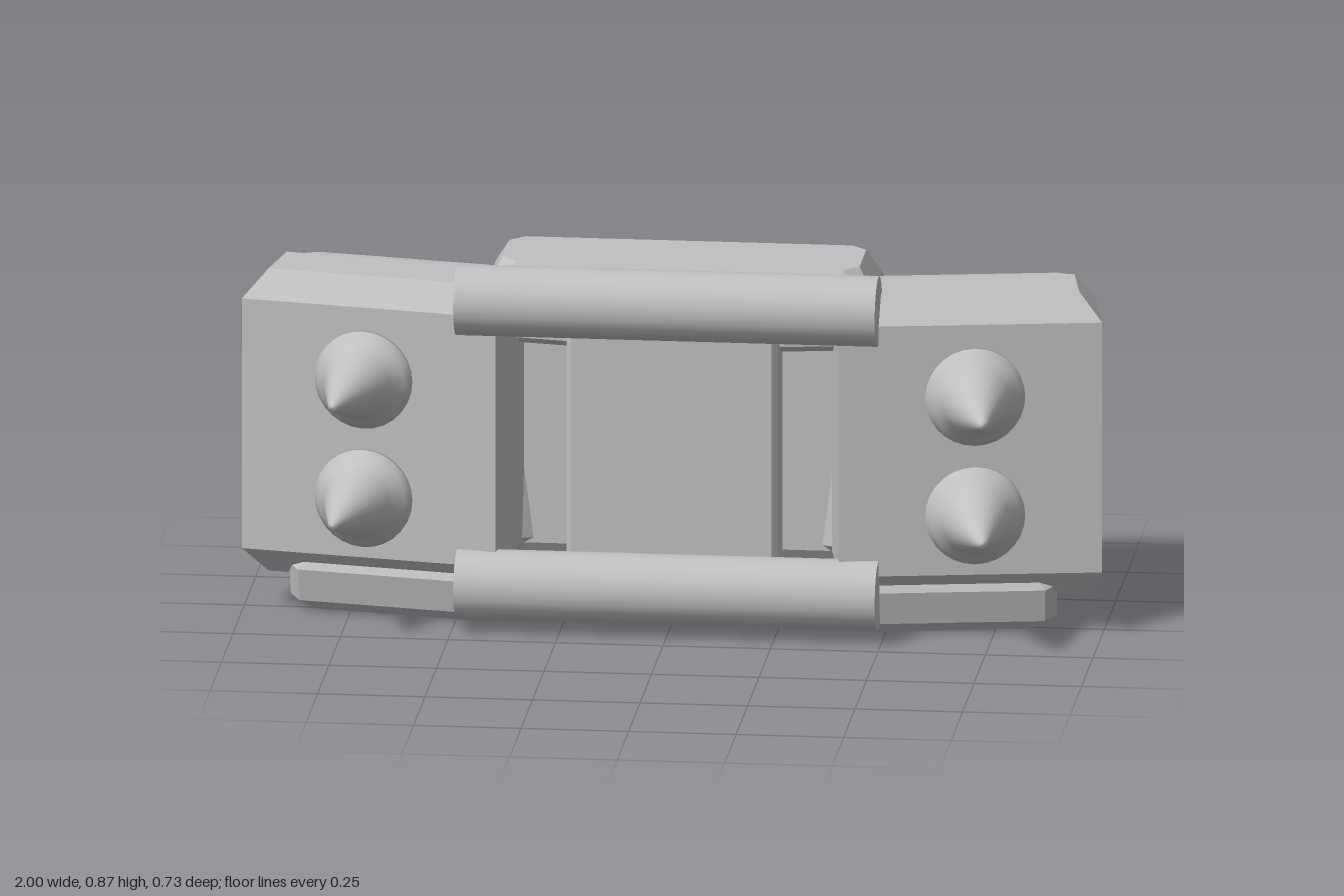
import * as THREE from 'three';
import { ConvexGeometry } from 'three/addons/geometries/ConvexGeometry.js';

const grey = new THREE.MeshStandardMaterial({ color: 0xc0c0c0 });
grey.name = 'plain grey';

// Box with cut vertical edges (v) and top and bottom bevels (inset, drop)
function bevelBox(w, h, d, v, inset, drop) {
  const pts = [];
  const ring = (y, a, b) => {
    for (const sx of [-1, 1]) for (const sz of [-1, 1]) {
      pts.push(new THREE.Vector3(sx * a, y, sz * (b - v)));
      if (v > 0) pts.push(new THREE.Vector3(sx * (a - v), y, sz * b));
    }
  };
  for (const s of [-1, 1]) {
    ring(s * (h / 2 - drop), w / 2, d / 2);
    ring(s * h / 2, w / 2 - inset, d / 2 - inset);
  }
  return new ConvexGeometry(pts);
}

function add(parent, name, geometry, x, y, z, rx = 0, ry = 0, rz = 0) {
  const mesh = new THREE.Mesh(geometry, grey);
  mesh.name = name;
  mesh.position.set(x, y, z);
  mesh.rotation.set(rx, ry, rz, 'YXZ');
  parent.add(mesh);
  return mesh;
}

export function createModel() {
  const model = new THREE.Group();
  model.name = 'armouredBumper';
  const yaw = THREE.MathUtils.degToRad(10);

  // Central body
  add(model, 'backBlock', bevelBox(0.9, 0.725, 0.285, 0.035, 0.035, 0.06), 0, 0.4625, -0.2225);
  add(model, 'frontPanel', bevelBox(0.49, 0.69, 0.135, 0.012, 0.025, 0.03), 0, 0.45, -0.005);

  // Cross bars
  const bar = new THREE.CylinderGeometry(0.082, 0.082, 0.98, 24);
  for (const [name, y] of [['upperBar', 0.8], ['lowerBar', 0.119]])
    add(model, name, bar, 0, y, 0.145, 0, 0, Math.PI / 2);

  // Shared side shapes
  const sideGeo = bevelBox(0.61, 0.725, 0.25, 0, 0.05, 0.063);
  const wingGeo = bevelBox(0.61, 0.65, 0.13, 0.025, 0.025, 0.035);
  const footGeo = bevelBox(0.52, 0.15, 0.19, 0.03, 0.03, 0.035);
  const linkGeo = bevelBox(0.2, 0.075, 0.08, 0.015, 0.015, 0.015);
  const spikeGeo = new THREE.LatheGeometry([
    [0, 0], [0.115, 0], [0.116, 0.022], [0.104, 0.034], [0.088, 0.055], [0.08, 0.072], [0.012, 0.268], [0, 0.272],
  ].map(([r, y]) => new THREE.Vector2(r, y)), 28);

  for (const s of [1, -1]) {
    const side = s > 0 ? 'left' : 'right';

    // Angled side block carrying two spikes
    const block = new THREE.Group();
    block.name = side + 'SideAssembly';
    block.position.set(s * 0.678, 0.4625, -0.02);
    block.rotation.y = s * yaw;
    model.add(block);
    add(block, side + 'SideBlock', sideGeo, 0, 0, 0);
    for (const y of [0.592, 0.308])
      add(block, side + 'Spike', spikeGeo, s * 0.01, y - 0.4625, 0.118, Math.PI / 2);

    // Leaning plate behind, foot below and link to the front panel
    add(model, side + 'RearPlate', wingGeo, s * 0.62, 0.457, -0.205, -0.105, s * yaw);
    add(model, side + 'Foot', footGeo, s * 0.625, 0.1, 0.0, 0.22, s * yaw);
    add(model, side + 'Link', linkGeo, s * 0.3, 0.69, -0.05, 0, s * yaw);
  }
  return model;
}
